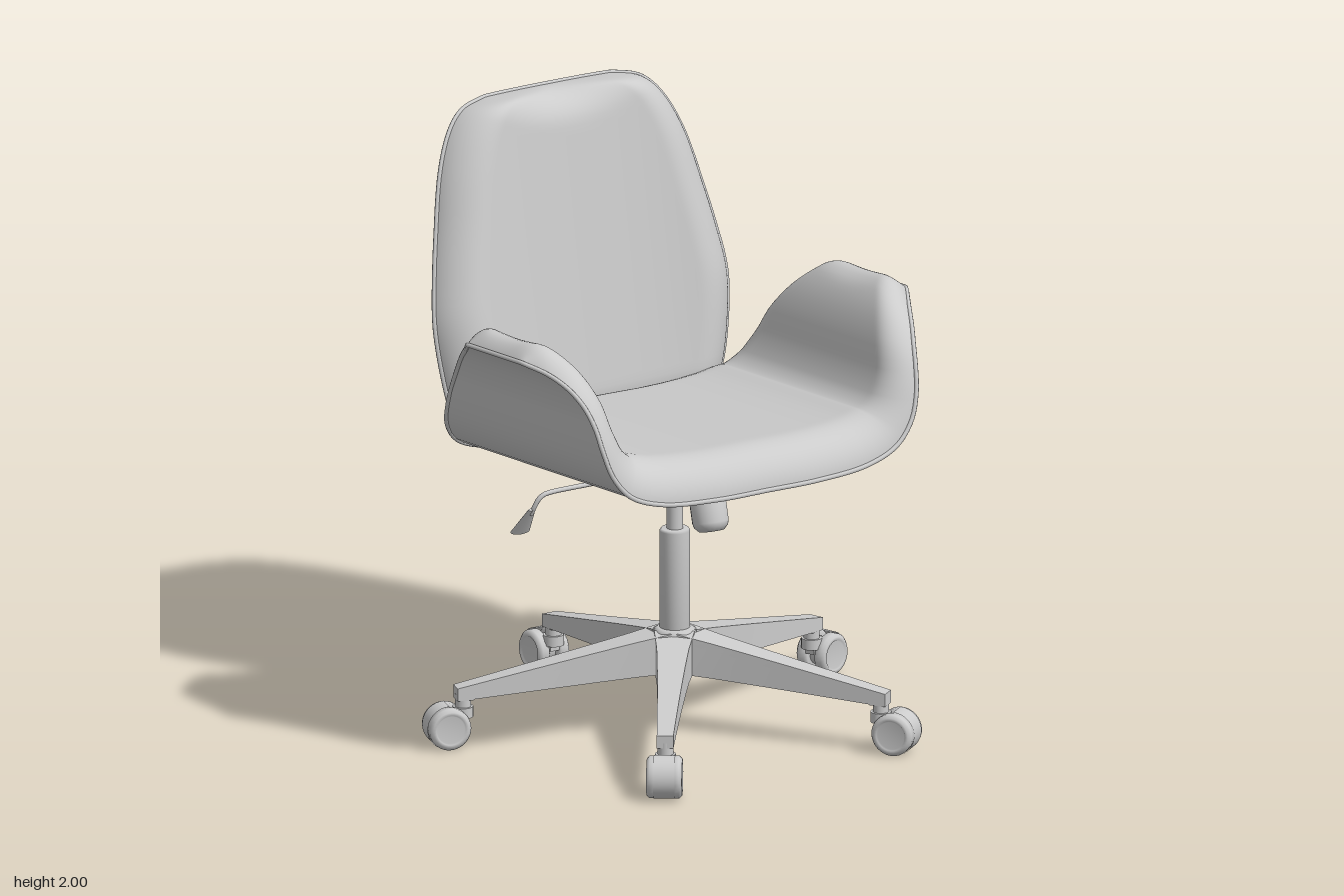
import * as THREE from 'three';
import { ParametricGeometry } from 'three/addons/geometries/ParametricGeometry.js';

const mat = new THREE.MeshStandardMaterial({ color: 0xcccccc, roughness: 0.7 });
const matDouble = new THREE.MeshStandardMaterial({ color: 0xcccccc, roughness: 0.7, side: THREE.DoubleSide });
const V = (x, y, z) => new THREE.Vector3(x, y, z);

function add(parent, name, geometry, x = 0, y = 0, z = 0, material = mat) {
  const mesh = new THREE.Mesh(geometry, material);
  mesh.name = name;
  mesh.position.set(x, y, z);
  parent.add(mesh);
  return mesh;
}
const cyl = (r1, r2, h, n = 32) => new THREE.CylinderGeometry(r1, r2, h, n);
const rail = (points) => new THREE.CatmullRomCurve3(points, false, 'catmullrom', 0.5);
const lathe = (pts, n = 32) => new THREE.LatheGeometry(pts.map(p => new THREE.Vector2(...p)), n);

// Upholstered panel: smooth outer shell, padding swelling from its rim, and a piped edge.
// surface(u, v) returns a point; u x v points to the padded side.
function paddedPanel(name, surface, thickness) {
  const group = new THREE.Group();
  group.name = name;
  const ease = t => (1 - Math.cos(Math.PI * t)) / 2;
  const round = d => Math.sqrt(1 - (1 - Math.min(1, d)) ** 2);
  const e = 0.002;
  const padding = (a, b, target) => {
    const u = ease(a), v = ease(b), p = surface(u, v);
    const t = thickness(u);
    const du = surface(Math.min(1, u + e), v).sub(surface(Math.max(0, u - e), v));
    const dv = surface(u, Math.min(1, v + e)).sub(surface(u, Math.max(0, v - e)));
    const normal = du.cross(dv).normalize();
    let swell = t;
    for (const [eu, ev] of [[0, v], [1, v], [u, 0], [u, 1]])
      swell *= round(p.distanceTo(surface(eu, ev)) / t);
    target.copy(p).addScaledVector(normal, swell);
  };
  const shell = (a, b, target) => target.copy(surface(ease(1 - a), ease(b)));
  for (const [part, fn] of [['Cushion', padding], ['Shell', shell]]) {
    const geometry = new ParametricGeometry(fn, 72, 56);
    geometry.computeVertexNormals();
    add(group, name + part, geometry, 0, 0, 0, matDouble);
  }
  // Piping around the rim
  const rim = [], n = 28;
  for (let i = 0; i < n; i++) rim.push(surface(ease(i / n), 0));
  for (let i = 0; i < n; i++) rim.push(surface(1, ease(i / n)));
  for (let i = 0; i < n; i++) rim.push(surface(ease(1 - i / n), 1));
  for (let i = 0; i < n; i++) rim.push(surface(0, ease(1 - i / n)));
  add(group, name + 'Piping', new THREE.TubeGeometry(new THREE.CatmullRomCurve3(rim, true), 260, 0.008, 8, true));
  return group;
}

// Seat and armrests in one sweep: half-width, height, front z, rear z
function makeSeat() {
  const half = [
    [0, 0, 0.62, -0.46], [0.2, 0, 0.618, -0.455], [0.4, 0.015, 0.605, -0.45],
    [0.52, 0.06, 0.595, -0.43], [0.585, 0.14, 0.585, -0.39], [0.615, 0.24, 0.565, -0.33],
    [0.63, 0.33, 0.53, -0.27], [0.66, 0.41, 0.47, -0.19], [0.7, 0.465, 0.39, -0.1],
    [0.75, 0.5, 0.3, -0.02],
  ];
  const rows = [...half.slice(1).reverse().map(([x, ...r]) => [-x, ...r]), ...half];
  const front = rail(rows.map(([x, h, f]) => V(x, h, f)));
  const back = rail(rows.map(([x, h, , b]) => V(x, h, b)));
  const surface = (u, v) => {
    const p = front.getPoint(u).lerp(back.getPoint(u), v);
    p.y += 0.915 + 0.066 * (p.z - 0.09);
    return p;
  };
  const thickness = u =>
    0.14 - 0.05 * THREE.MathUtils.smoothstep(Math.abs(u - 0.5) * 2, 0.25, 0.65);
  return paddedPanel('seat', surface, thickness);
}

// Backrest: half-width and height from bottom to top, wrapping forward at the sides
function makeBackrest() {
  const side = rail([
    [0.46, 0.885], [0.515, 0.97], [0.55, 1.12], [0.568, 1.3], [0.55, 1.45], [0.515, 1.62],
    [0.475, 1.78], [0.42, 1.9], [0.35, 1.97], [0.25, 1.995],
  ].map(([w, y]) => V(w, y, 0)));
  const surface = (u, v) => {
    const p = side.getPoint(v);
    p.x *= 2 * u - 1;
    p.z = -0.5 - 0.171 * (p.y - 0.89) + 0.4 * Math.abs(p.x) ** 2.7;
    p.y += 0.2 * p.x * p.x * (1 - v) ** 6;
    return p;
  };
  return paddedPanel('backrest', surface, () => 0.13);
}

// Tapered bar along +x; section(t) gives [yBottom, yTop, zMin, zMax]
function taperedBar(x0, x1, section) {
  const geometry = new THREE.BoxGeometry(1, 1, 1, 6, 1, 1);
  const pos = geometry.attributes.position;
  for (let i = 0; i < pos.count; i++) {
    const t = pos.getX(i) + 0.5, [b, top, z0, z1] = section(t);
    pos.setXYZ(i, x0 + (x1 - x0) * t, pos.getY(i) > 0 ? top : b, pos.getZ(i) > 0 ? z1 : z0);
  }
  geometry.computeVertexNormals();
  return geometry;
}

function makeCaster() {
  const caster = new THREE.Group();
  caster.name = 'caster';
  add(caster, 'casterStem', cyl(0.026, 0.026, 0.08, 20), -0.055, 0.135, 0);
  add(caster, 'casterNeck', cyl(0.034, 0.034, 0.035, 20), -0.055, 0.115, 0);
  add(caster, 'casterBody', cyl(0.045, 0.045, 0.04, 24).rotateX(Math.PI / 2), 0, 0.072, 0);
  add(caster, 'casterBracket', new THREE.BoxGeometry(0.07, 0.045, 0.034), -0.03, 0.1, 0);
  // Hood over the upper outer part of both wheels
  const hood = new THREE.CylinderGeometry(0.073, 0.073, 0.07, 20, 1, true, -0.2, 2.6);
  add(caster, 'casterHood', hood.rotateX(-Math.PI / 2).rotateZ(-0.2), 0, 0.071, 0, matDouble);
  const wheel = lathe([[0, -0.02], [0.058, -0.02], [0.07, -0.012], [0.07, 0.012],
    [0.06, 0.022], [0.05, 0.022], [0.046, 0.017], [0, 0.017]]);
  for (const s of [-1, 1])
    add(caster, 'casterWheel', wheel, 0, 0.07, s * 0.036).rotation.x = s * Math.PI / 2;
  return caster;
}

// Five-star base with hollow legs and twin-wheel casters
function makeBase() {
  const base = new THREE.Group();
  base.name = 'base';
  add(base, 'hub', lathe([[0, 0.2], [0.075, 0.2], [0.078, 0.3], [0.07, 0.335], [0.055, 0.345], [0, 0.345]]));
  const { lerp } = THREE.MathUtils;
  const top = t => lerp(0.338, 0.2, t), bottom = t => lerp(0.205, 0.157, t);
  const width = t => lerp(0.066, 0.027, t ** 0.6);
  const legTop = taperedBar(0.03, 0.74, t => [top(t) - 0.025, top(t), -width(t), width(t)]);
  const legTip = taperedBar(0.685, 0.74, () => [0.157, 0.2, -0.026, 0.026]);
  const walls = [-1, 1].map(s => taperedBar(0.03, 0.74, t => {
    const z = s * (width(t) - 0.006);
    return [bottom(t), top(t) - 0.01, z - 0.006, z + 0.006];
  }));
  for (let i = 0; i < 5; i++) {
    const leg = new THREE.Group();
    leg.name = 'baseLeg';
    leg.rotation.y = Math.PI / 2 + i * Math.PI * 2 / 5;
    add(leg, 'legTop', legTop);
    add(leg, 'legTip', legTip);
    for (const wall of walls) add(leg, 'legWall', wall);
    const caster = makeCaster();
    caster.position.x = 0.77;
    leg.add(caster);
    base.add(leg);
  }
  add(base, 'columnSleeve', lathe([[0, 0.32], [0.05, 0.32], [0.05, 0.672], [0.045, 0.68], [0, 0.68]]));
  add(base, 'gasRod', cyl(0.027, 0.027, 0.22), 0, 0.77, 0);
  add(base, 'rodCollar', cyl(0.045, 0.03, 0.03), 0, 0.85, 0);
  base.position.z = 0.07;
  return base;
}

// Tilt mechanism under the seat with tension knob and height lever
function makeMechanism() {
  const mech = new THREE.Group();
  mech.name = 'mechanism';
  const profile = new THREE.Shape([[0.3, 0.94], [0.29, 0.912], [0.16, 0.875], [0.13, 0.86], [0, 0.86],
    [-0.03, 0.878], [-0.13, 0.9], [-0.13, 0.925]].map(p => new THREE.Vector2(...p)));
  const plate = new THREE.ExtrudeGeometry(profile, { depth: 0.33, bevelEnabled: false });
  add(mech, 'mechanismPlate', plate.translate(0, 0, -0.165).rotateY(-Math.PI / 2));

  const knob = new THREE.Group();
  knob.name = 'tensionKnob';
  knob.position.set(0, 0.91, 0.24);
  knob.rotation.x = -0.25;
  add(knob, 'knobShaft', cyl(0.045, 0.045, 0.1), 0, -0.04, 0);
  for (let i = 0; i < 5; i++)
    add(knob, 'knobRib', new THREE.TorusGeometry(0.046, 0.006, 8, 28).rotateX(Math.PI / 2), 0, -0.015 - i * 0.014, 0);
  add(knob, 'knobGrip', lathe([[0, -0.19], [0.042, -0.19], [0.056, -0.175], [0.06, -0.16],
    [0.06, -0.09], [0.05, -0.08], [0, -0.08]], 20));
  mech.add(knob);

  const rod = rail([V(-0.15, 0.885, 0.07), V(-0.35, 0.885, 0.07), V(-0.48, 0.884, 0.07),
    V(-0.52, 0.872, 0.065), V(-0.537, 0.84, 0.055), V(-0.542, 0.81, 0.042)]);
  add(mech, 'leverRod', new THREE.TubeGeometry(rod, 40, 0.008, 10));
  const paddle = add(mech, 'leverPaddle', cyl(0.014, 0.037, 0.115, 24).scale(1, 1, 0.35), -0.546, 0.785, 0.018);
  paddle.rotation.x = 0.65;
  return mech;
}

export function createModel() {
  const chair = new THREE.Group();
  chair.name = 'officeChair';
  chair.add(makeSeat(), makeBackrest(), makeMechanism(), makeBase());
  return chair;
}
